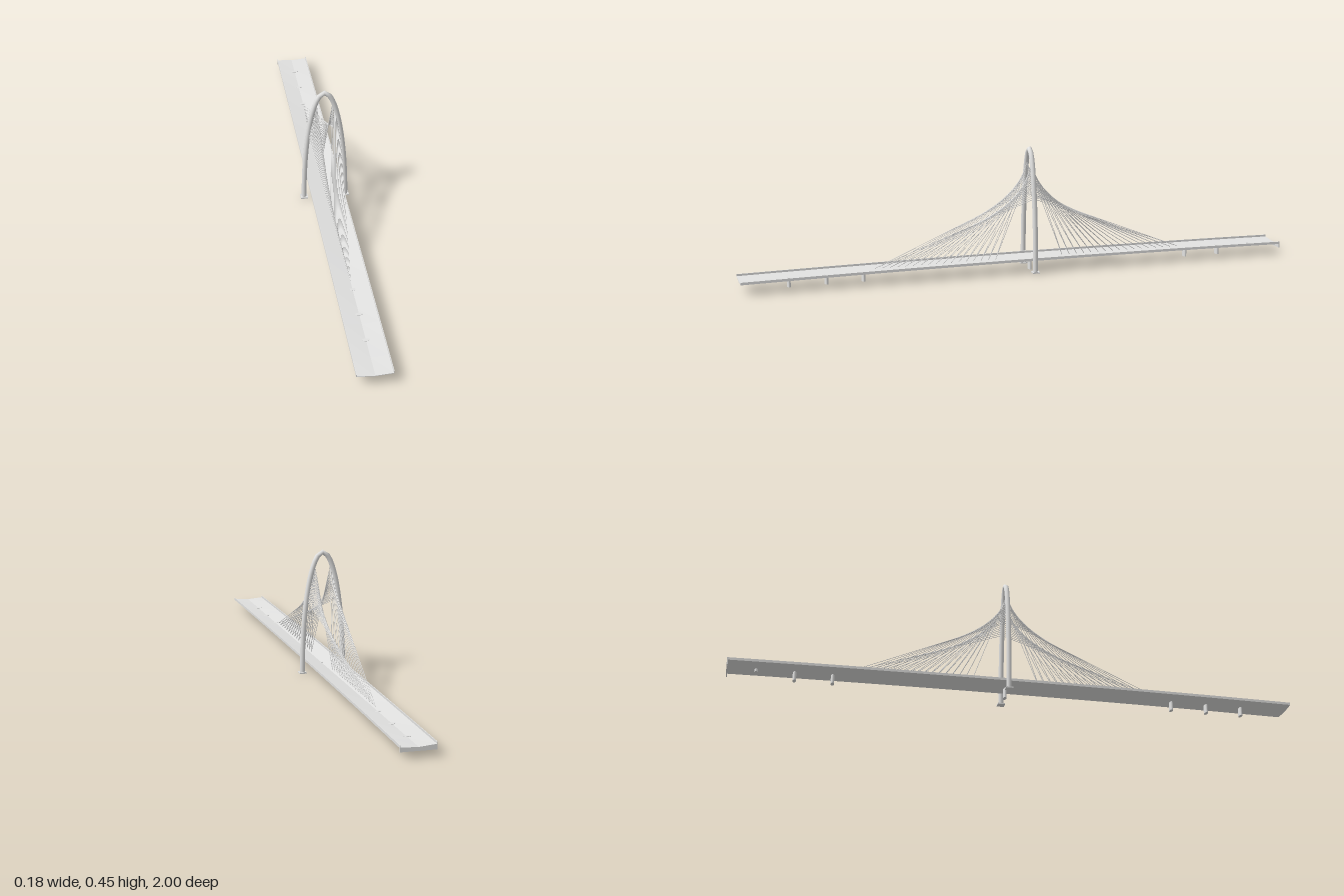
import * as THREE from 'three';

const ARCH_Z = -0.037, ARCH_A = 0.0755, ARCH_B = 0.438, DECK_X = 0.0035, HALF = 0.06;

// half ellipse, slightly above the ground at both feet
class ArchCurve extends THREE.Curve {
  getPoint(t, target = new THREE.Vector3()) {
    const a = Math.PI * (1 - t);
    return target.set(ARCH_A * Math.cos(a), 0.006 + (ARCH_B - 0.006) * Math.sin(a), ARCH_Z);
  }
}

const archX = (y) => ARCH_A * Math.sqrt(1 - (y / ARCH_B) ** 2);

export function createModel() {
  const concrete = new THREE.MeshStandardMaterial({ color: 0xe2e2e1 });
  concrete.name = 'paleConcrete';

  const model = new THREE.Group();
  model.name = 'cableStayedBridge';
  const add = (name, geometry, x = 0, y = 0, z = 0, parent = model) => {
    const mesh = new THREE.Mesh(geometry, concrete);
    mesh.name = name;
    mesh.position.set(x, y, z);
    parent.add(mesh);
    return mesh;
  };
  const polygon = (points) => new THREE.Shape(points.map(([x, y]) => new THREE.Vector2(x, y)));

  // deck: shallow V slab with upright edges; the edges rise towards midspan
  const section = polygon([
    [-HALF, 0.0365], [0, 0.0325], [HALF, 0.0365], [HALF, 0.0455], [HALF - 0.002, 0.0455],
    [HALF - 0.002, 0.0385], [0, 0.0345], [-HALF + 0.002, 0.0385], [-HALF + 0.002, 0.0455], [-HALF, 0.0455],
  ]);
  const deck = new THREE.ExtrudeGeometry(section, { depth: 2, steps: 24, bevelEnabled: false });
  deck.translate(0, 0, -1);
  const p = deck.attributes.position;
  for (let i = 0; i < p.count; i++) {
    const rise = 0.001 + 0.006 * Math.abs(p.getX(i)) / HALF;
    p.setY(i, p.getY(i) + rise * (1 - p.getZ(i) ** 2));
  }
  deck.computeVertexNormals();
  add('deck', deck, DECK_X);

  // end wall under the rear end of the deck
  const wall = polygon([[-HALF, 0.021], [HALF, 0.0235], [HALF, 0.0375], [0, 0.0335], [-HALF, 0.0375]]);
  add('rearEndWall', new THREE.ExtrudeGeometry(wall, { depth: 0.004, bevelEnabled: false }), DECK_X, 0, -1);

  // arch pylon with a stepped footing under each leg
  add('arch', new THREE.TubeGeometry(new ArchCurve(), 40, 0.009, 14, false));
  for (const side of [-1, 1]) {
    const x = side * 0.0755;
    add('footing', new THREE.BoxGeometry(0.026, 0.004, 0.026), x, 0.005, ARCH_Z);
    add('footingCap', new THREE.BoxGeometry(0.02, 0.002, 0.02), x, 0.0075, ARCH_Z);
  }

  // oval piers whose tops just pierce the deck, the last one mostly buried
  for (const z of [0.83, 0.7, 0.57, ARCH_Z, -0.64, -0.77, -0.9]) {
    const bottom = z === -0.9 ? 0.024 : z === ARCH_Z ? 0 : 0.003;
    const top = 0.0365;
    const geometry = new THREE.CylinderGeometry(1, 1, top - bottom, 16);
    geometry.scale(0.0132, 1, 0.0062);
    add('pier', geometry, DECK_X, (top + bottom) / 2, z);
  }

  // crossing stays: the lowest arch anchor runs to the farthest deck anchor
  const cables = new THREE.Group();
  cables.name = 'cables';
  model.add(cables);
  const up = new THREE.Vector3(0, 1, 0);
  const count = 17;
  for (const [near, far] of [[0.09, 0.53], [-0.16, -0.61]]) {
    for (const side of [-1, 1]) {
      for (let i = 0; i < count; i++) {
        const t = i / (count - 1);
        const y = THREE.MathUtils.lerp(0.386, 0.268, t);
        const inset = THREE.MathUtils.lerp(0.008, 0.003, t);
        const from = new THREE.Vector3(side * (archX(y) - inset), y, ARCH_Z);
        const to = new THREE.Vector3(DECK_X - 0.001, 0.044, THREE.MathUtils.lerp(near, far, t));
        const dir = to.clone().sub(from);
        const stay = add('cable', new THREE.CylinderGeometry(0.0011, 0.0011, dir.length(), 6), 0, 0, 0, cables);
        stay.position.copy(from).add(to).multiplyScalar(0.5);
        stay.quaternion.setFromUnitVectors(up, dir.normalize());
      }
    }
  }
  return model;
}
